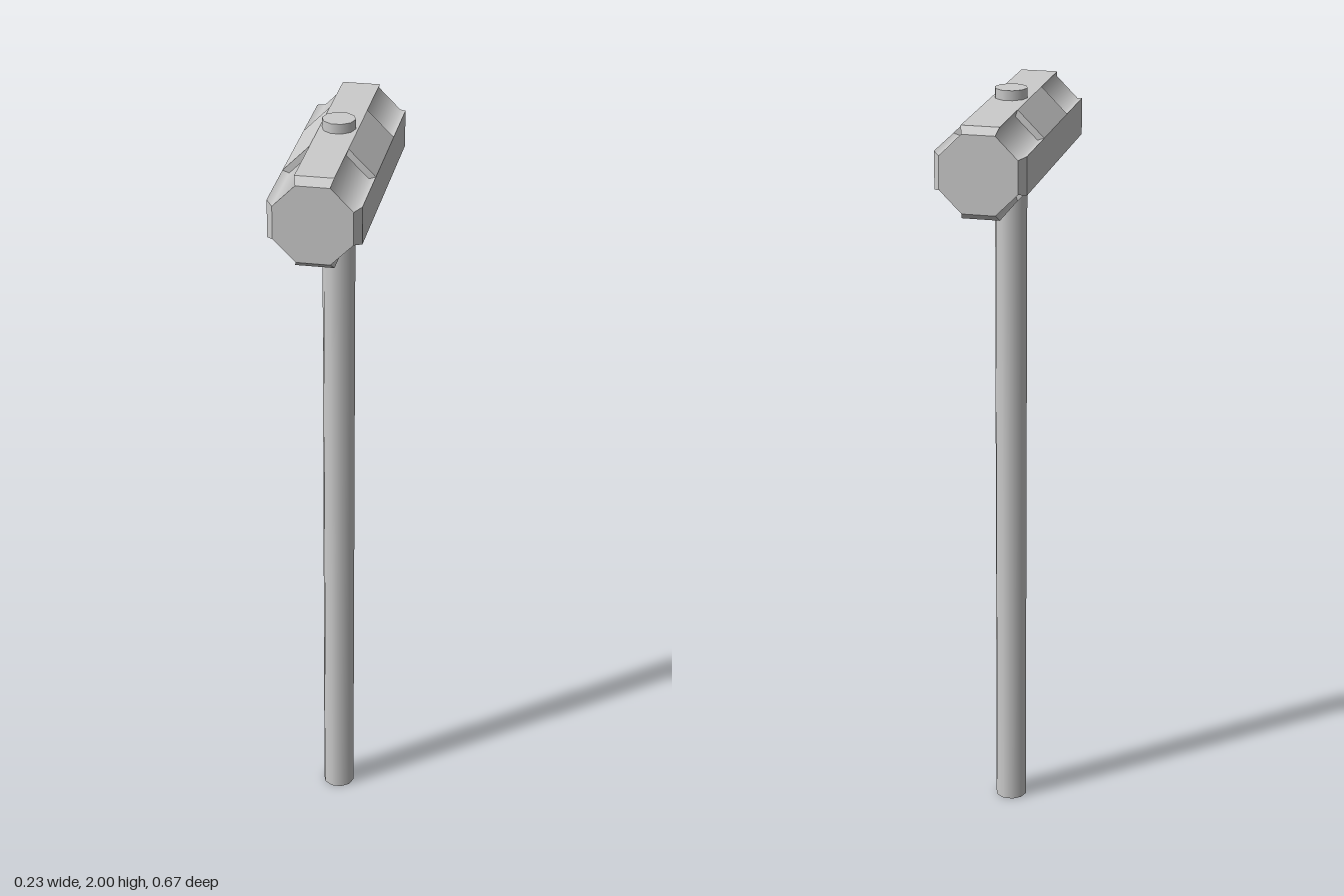
import * as THREE from 'three';

const HEAD_Y = 1.86;
const R = 0.115, W = 0.048;   // octagon: distance to a flat, half width of a flat
const r = 0.098, w = 0.042;   // the same for the smaller striking face
const MID = 0.13, BEVEL = 0.313, END = 0.335; // stations along z

const material = new THREE.MeshStandardMaterial({ color: 0xcccccc });

// Builds a geometry from four-cornered faces, flat unless normals are given
function quads(faces, normals) {
  const order = [0, 1, 2, 0, 2, 3];
  const spread = list => list.flatMap(f => order.flatMap(i => f[i]));
  const g = new THREE.BufferGeometry();
  g.setAttribute('position', new THREE.Float32BufferAttribute(spread(faces), 3));
  if (normals) g.setAttribute('normal', new THREE.Float32BufferAttribute(spread(normals), 3));
  else g.computeVertexNormals();
  return g;
}

// Strip running along z between two points of the cross-section
const strip = (a, b, z0, za, zb = za) => [[...a, z0], [...a, za], [...b, zb], [...b, z0]];

// One eighth of the head: a flat, a bevel, half a diagonal and a step
function headShell() {
  return quads([
    strip([-W, R], [W, R], 0, BEVEL),
    strip([W, R], [R, W], 0, MID),
    [[-W, R, BEVEL], [-w, r, END], [w, r, END], [W, R, BEVEL]],
    [[W, R, MID], [w, r, MID], [r, w, MID], [R, W, MID]],
  ]);
}

// Recessed diagonal near the end, shaded softly like a hollow
function headGroove() {
  const p = [[W, R], [w, r], [r, w], [R, W]];
  const ends = [BEVEL, END, END, BEVEL];
  const n = [[0.94, -0.33, 0], [0.976, 0.22, 0], [0.22, 0.976, 0], [-0.33, 0.94, 0]];
  const faces = [], normals = [];
  for (let i = 0; i < 3; i++) {
    faces.push(strip(p[i], p[i + 1], MID, ends[i], ends[i + 1]));
    normals.push([n[i], n[i], n[i + 1], n[i + 1]]);
  }
  return quads(faces, normals);
}

// Quarter of the octagonal striking face
function strikingFace() {
  return quads([[[0, 0, END], [r, w, END], [w, r, END], [-w, r, END]]]);
}

export function createModel() {
  const model = new THREE.Group();

  // Ten-sided shaft passing right through the head
  const handle = new THREE.Mesh(new THREE.CylinderGeometry(0.042, 0.042, 2, 10), material);
  handle.name = 'handle';
  handle.rotation.y = Math.PI / 2;
  handle.position.y = 1;
  model.add(handle);

  // Head: four quarters around z, at both ends
  const head = new THREE.Group();
  head.name = 'head';
  head.position.y = HEAD_Y;
  const parts = { headShell: headShell(), headGroove: headGroove(), strikingFace: strikingFace() };
  for (const side of [0, 1]) {
    const half = new THREE.Group();
    half.name = side ? 'backHalf' : 'frontHalf';
    half.rotation.y = side * Math.PI;
    for (let k = 0; k < 4; k++) {
      for (const [name, geometry] of Object.entries(parts)) {
        const mesh = new THREE.Mesh(geometry, material);
        mesh.name = name;
        mesh.rotation.z = k * Math.PI / 2;
        half.add(mesh);
      }
    }
    head.add(half);
  }
  model.add(head);
  return model;
}
